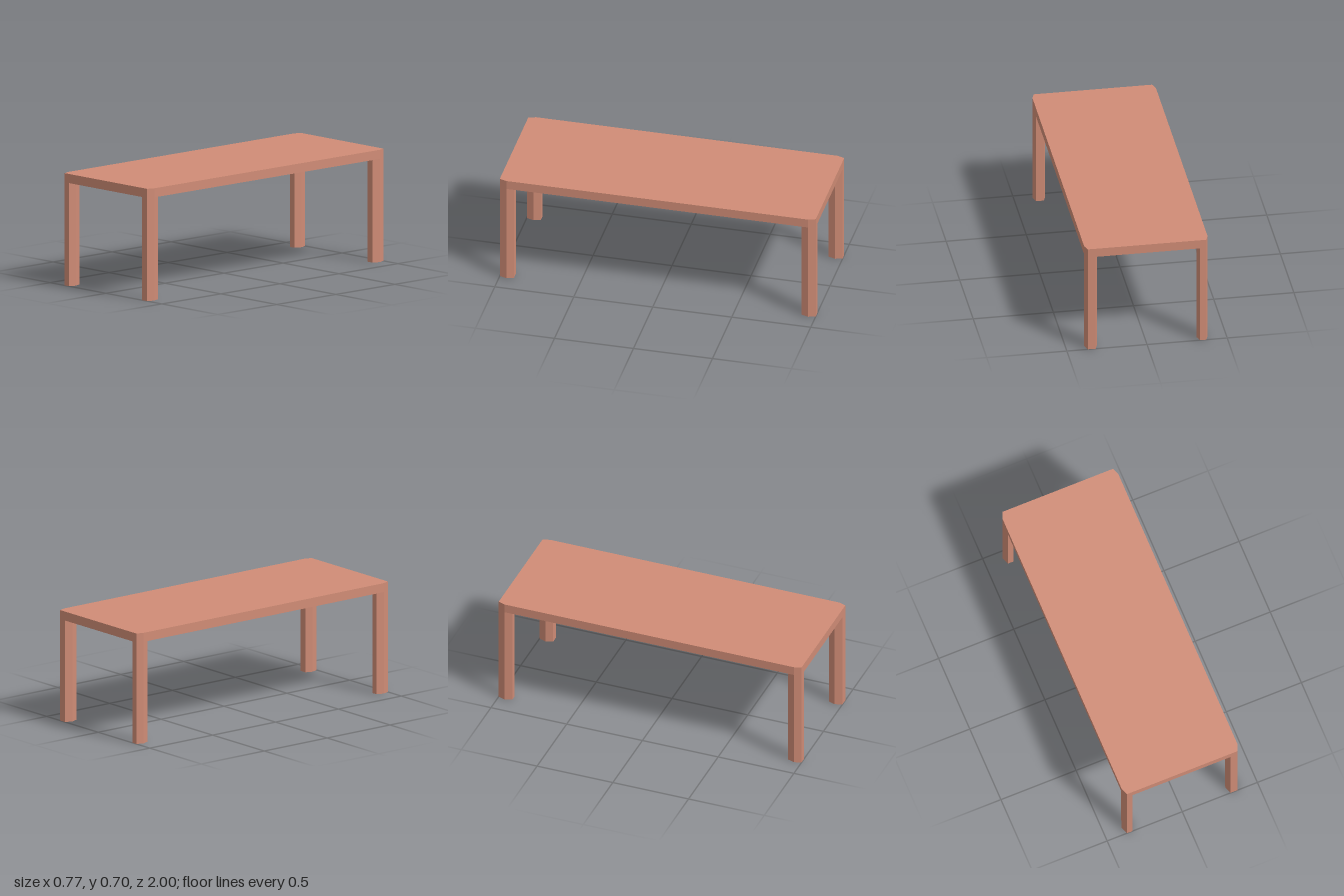
import * as THREE from 'three';

const TOP = 0.702, UNDER = 0.645, HALF_X = 0.385, HALF_Z = 1;
const CUT_X = 0.016, CUT_Z = 0.045; // corner cut, shared by top and legs

// Upright prism from an outline of [x, z] points
function prism(points, y0, y1, material, name) {
  const shape = new THREE.Shape(points.map(([x, z]) => new THREE.Vector2(x, -z)));
  const geometry = new THREE.ExtrudeGeometry(shape, { depth: y1 - y0, bevelEnabled: false });
  geometry.rotateX(-Math.PI / 2).translate(0, y0, 0);
  const mesh = new THREE.Mesh(geometry, material);
  mesh.name = name;
  return mesh;
}

export function createModel() {
  const table = new THREE.Group();
  table.name = 'table';
  const material = new THREE.MeshStandardMaterial({ color: 0xd08c76, flatShading: true });

  // Table top with cut corners
  const x = HALF_X, z = HALF_Z, xi = x - CUT_X, zi = z - CUT_Z;
  table.add(prism([
    [x, -zi], [x, zi], [xi, z], [-xi, z],
    [-x, zi], [-x, -zi], [-xi, -z], [xi, -z],
  ], UNDER, TOP, material, 'tableTop'));

  // Six-sided legs, flush with the cut corners; the left pair is a little wider
  for (const [side, width, label] of [[1, 0.08, 'Left'], [-1, 0.07, 'Right']]) {
    for (const [end, place] of [[1, 'front'], [-1, 'back']]) {
      const outer = side * HALF_X, inner = side * (HALF_X - width);
      const outerCut = outer - side * CUT_X, innerCut = inner + side * CUT_X;
      const far = end * HALF_Z, mid = far - end * CUT_Z, near = far - end * 2 * CUT_Z;
      table.add(prism([
        [outer, mid], [outerCut, far], [innerCut, far],
        [inner, mid], [innerCut, near], [outerCut, near],
      ], 0, UNDER, material, `${place}${label}Leg`));
    }
  }
  return table;
}
